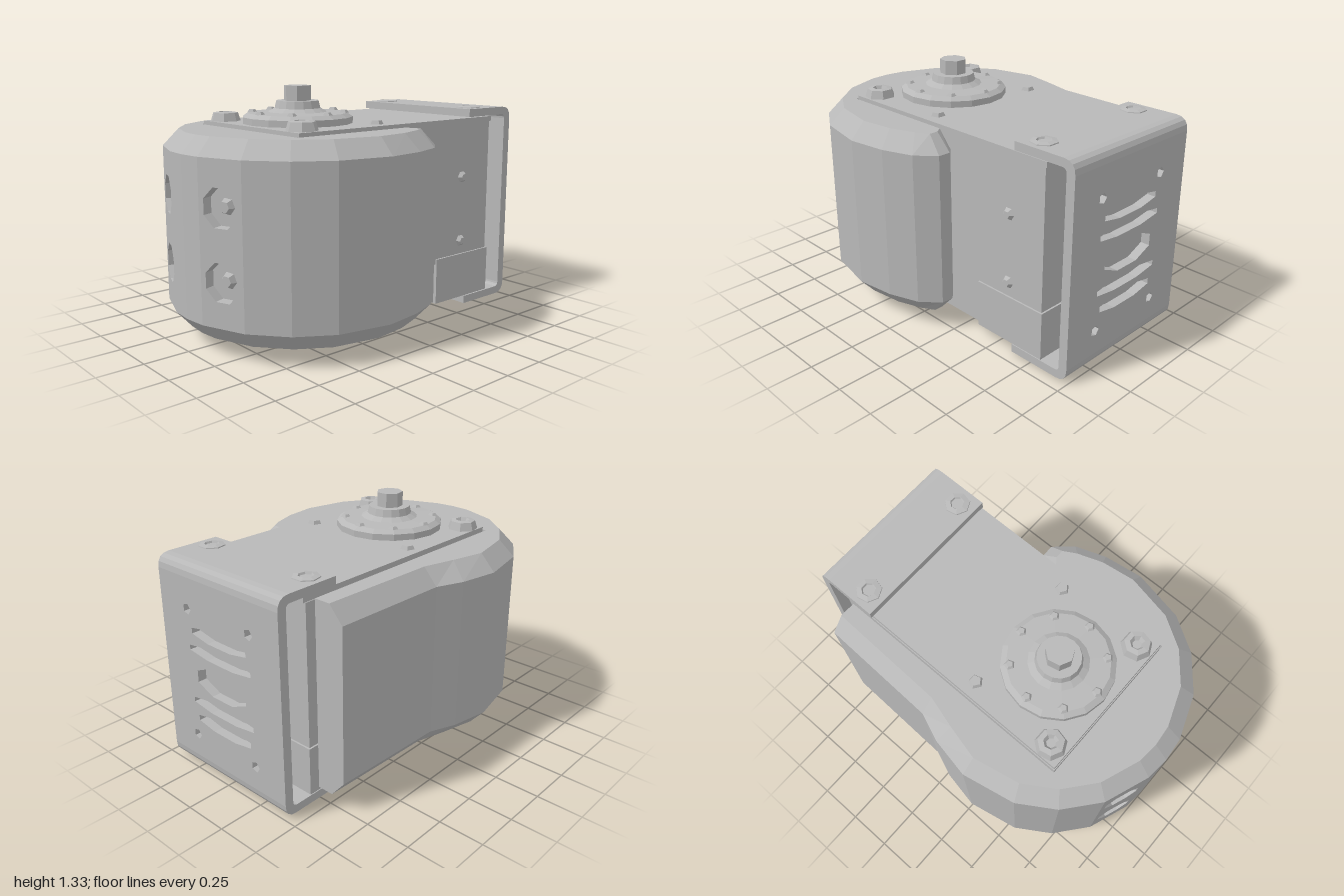
import * as THREE from 'three';

export function createModel() {
  const grey = new THREE.MeshStandardMaterial({ color: 0xb8b8b8 });
  grey.name = 'grey';
  grey.flatShading = true;
  grey.side = THREE.DoubleSide;

  const model = new THREE.Group();
  const add = (name, geometry, x = 0, y = 0, z = 0, parent = model) => {
    const mesh = new THREE.Mesh(geometry, grey);
    mesh.name = name;
    mesh.position.set(x, y, z);
    parent.add(mesh);
    return mesh;
  };
  const box = (name, x0, x1, y0, y1, z0, z1) => add(name,
    new THREE.BoxGeometry(x1 - x0, y1 - y0, z1 - z0), (x0 + x1) / 2, (y0 + y1) / 2, (z0 + z1) / 2);

  // Housing outline: [x, z, bevelled x, bevelled z], from the left arm round the front to the right arm
  const cz = 0.27, r = 0.73;
  const arc = [0.73, 0.67, 0.55, 0.37, 0.13, 0, -0.13, -0.37, -0.55, -0.67, -0.73].map(x => {
    const d = Math.sqrt(Math.max(0, r * r - x * x)), k = 1 - 0.085 / r;
    return [x, cz + d, x * k, cz + d * k];
  });
  const outline = [
    [0.44, -0.18, 0.44, -0.10], [0.48, -0.22, 0.48, -0.13], [0.55, -0.22, 0.53, -0.13],
    [0.64, -0.12, 0.57, -0.06], [0.70, 0.05, 0.62, 0.08],
    ...arc,
    [-0.69, 0.05, -0.60, 0.08], [-0.63, -0.10, -0.55, -0.10], [-0.61, -0.77, -0.53, -0.77],
    [-0.44, -0.77, -0.44, -0.77], [-0.44, 0.62, -0.44, 0.62], [0.44, 0.62, 0.44, 0.62],
  ];
  const levels = [[0.08, 1], [0.175, 0], [1.02, 0], [1.11, 1]];
  const rings = levels.map(([y, k]) => outline.map(([x, z, bx, bz]) =>
    new THREE.Vector3(x + (bx - x) * k, y, z + (bz - z) * k)));
  const isPanel = i => Math.abs(Math.abs(outline[i][0] + outline[(i + 1) % outline.length][0]) - 0.5) < 0.001
    && outline[i][1] > 0.85;

  const points = [];
  for (let j = 0; j < 3; j++) {
    for (let i = 0; i < outline.length; i++) {
      if (j === 1 && isPanel(i)) continue; // filled by the drilled panels
      const n = (i + 1) % outline.length;
      const a = rings[j][i], b = rings[j][n], c = rings[j + 1][i], d = rings[j + 1][n];
      points.push(b, a, c, b, c, d);
    }
  }
  for (const [ring, up] of [[rings[0], -1], [rings[3], 1]]) {
    const flat = ring.map(p => new THREE.Vector2(p.x, p.z));
    for (const [i, j, k] of THREE.ShapeUtils.triangulateShape(flat, [])) {
      const ny = -THREE.ShapeUtils.area([flat[i], flat[j], flat[k]]);
      points.push(...(ny * up > 0 ? [ring[i], ring[j], ring[k]] : [ring[i], ring[k], ring[j]]));
    }
  }
  const housing = new THREE.BufferGeometry().setFromPoints(points);
  housing.computeVertexNormals();
  add('housing', housing);

  const ngon = (path, x, y, rx, ry, n, turn = 0) => {
    for (let i = 0; i < n; i++) {
      const t = turn + i / n * Math.PI * 2;
      const px = x + rx * Math.cos(t), py = y + ry * Math.sin(t);
      i ? path.lineTo(px, py) : path.moveTo(px, py);
    }
    path.closePath();
    return path;
  };
  const rectangle = (w, y0, y1) => new THREE.Shape([[-w, y0], [w, y0], [w, y1], [-w, y1]]
    .map(p => new THREE.Vector2(...p)));

  // Two drilled front panels, each with two recessed bolts
  const zNear = cz + Math.sqrt(r * r - 0.13 ** 2), zFar = cz + Math.sqrt(r * r - 0.37 ** 2);
  for (const s of [-1, 1]) {
    const panel = new THREE.Group();
    panel.name = s > 0 ? 'leftFrontPanel' : 'rightFrontPanel';
    panel.position.set(s * 0.25, 0, (zNear + zFar) / 2);
    panel.rotation.y = s * Math.atan2(zNear - zFar, 0.24);
    model.add(panel);
    const shape = rectangle(Math.hypot(0.24, zNear - zFar) / 2, 0.175, 1.02);
    for (const y of [0.41, 0.78]) {
      shape.holes.push(ngon(new THREE.Path(), 0, y, 0.107, 0.107, 8, Math.PI / 8));
      const turned = g => g.rotateX(Math.PI / 2).rotateZ(Math.PI / 8);
      add('recessWall', turned(new THREE.CylinderGeometry(0.107, 0.107, 0.06, 8, 1, true)
        .rotateY(Math.PI / 8).rotateY(Math.PI / 8)), 0, y, -0.03, panel);
      add('recessFloor', new THREE.CircleGeometry(0.107, 8, Math.PI / 8), 0, y, -0.06, panel);
      add('recessBolt', turned(new THREE.CylinderGeometry(0.03, 0.045, 0.03, 6)), 0, y, -0.045, panel);
    }
    add('drilledPanel', new THREE.ShapeGeometry(shape), 0, 0, 0, panel);
  }

  // Motor case held inside the housing
  box('motorCase', -0.43, 0.43, 0.3, 1.1, -0.82, 0.615);
  box('motorLid', -0.425, 0.435, 1.1, 1.13, -0.83, 0.61);
  box('motorBase', -0.44, 0.44, 0.065, 0.33, -0.83, -0.38);
  box('motorFoot', -0.42, 0.42, 0.07, 0.3, -0.38, 0.615);
  for (const y of [0.41, 0.79]) {
    add('sideScrew', new THREE.CylinderGeometry(0.02, 0.035, 0.02, 6).rotateZ(-Math.PI / 2), 0.44, y, -0.59);
  }

  // Output horn on top, idler horn below
  const lathe = (profile, n) => new THREE.LatheGeometry(profile.map(p => new THREE.Vector2(...p)), n);
  add('outputHorn', lathe([[0.3, 1.12], [0.3, 1.165], [0.27, 1.185], [0.16, 1.19], [0.125, 1.21],
    [0.115, 1.25], [0, 1.25]], 16), 0, 0, 0.28);
  add('outputShaft', new THREE.CylinderGeometry(0.075, 0.075, 0.09, 7), 0, 1.285, 0.28);
  add('idlerHorn', lathe([[0, 0.015], [0.08, 0.005], [0.1, 0], [0.28, 0], [0.3, 0.015], [0.3, 0.09]], 16), 0, 0, 0.28);
  for (let i = 0; i < 8; i++) {
    const t = i / 8 * Math.PI * 2, x = 0.25 * Math.cos(t), z = 0.28 + 0.25 * Math.sin(t);
    add('hornScrew', new THREE.CylinderGeometry(0.018, 0.03, 0.015, 5), x, 1.192, z);
    add('idlerScrew', new THREE.CylinderGeometry(0.03, 0.018, 0.008, 5), x, 0.004, z);
  }

  // U-shaped bracket behind the motor
  const flange = new THREE.Shape(); // drawn in (z, y), flange top at y = 0
  flange.moveTo(-0.63, 0);
  flange.lineTo(-0.93, 0);
  flange.quadraticCurveTo(-1, 0, -1, -0.07);
  flange.lineTo(-0.95, -0.07);
  flange.quadraticCurveTo(-0.95, -0.045, -0.92, -0.045);
  flange.lineTo(-0.63, -0.045);
  const flangeGeometry = () => new THREE.ExtrudeGeometry(flange,
    { depth: 0.88, bevelEnabled: false, curveSegments: 4 }).rotateY(-Math.PI / 2);
  add('upperFlange', flangeGeometry(), 0.44, 1.18, 0);
  add('lowerFlange', flangeGeometry().rotateZ(Math.PI), -0.44, 0.015, 0);

  const plate = rectangle(0.44, 0.085, 1.11);
  const hole = (x, y, rx, ry, n) => plate.holes.push(ngon(new THREE.Path(), x, y, rx, ry, n, Math.PI / n));
  hole(0, 0.58, 0.2, 0.085, 8);
  for (const s of [-1, 1]) {
    hole(0, 0.58 + s * 0.15, 0.25, 0.035, 8);
    hole(0, 0.58 + s * 0.25, 0.22, 0.04, 8);
    for (const x of [-0.23, 0.23]) hole(x, 0.58 + s * 0.36, 0.03, 0.03, 5);
  }
  add('bracketPlate', new THREE.ExtrudeGeometry(plate, { depth: 0.05, bevelEnabled: false }), 0, 0, -1);

  // Corner bolts on the lid and bracket flanges, above and below
  const bolt = lathe([[0.085, 0], [0.07, 0.045], [0.04, 0.05], [0.025, 0.025], [0, 0.025]], 7);
  const smallBolt = lathe([[0.04, 0], [0.03, 0.02], [0, 0.02]], 5);
  for (const x of [-0.345, 0.345]) {
    add('lidBolt', bolt, x, 1.13, 0.52);
    add('baseBolt', bolt, x, 0.075, 0.52).rotation.x = Math.PI;
    add('upperFlangeBolt', bolt, x, 1.14, -0.73);
    add('lowerFlangeBolt', bolt, x, 0.058, -0.73).rotation.x = Math.PI;
    add('lidScrew', smallBolt, x, 1.13, 0.02);
  }
  return model;
}
